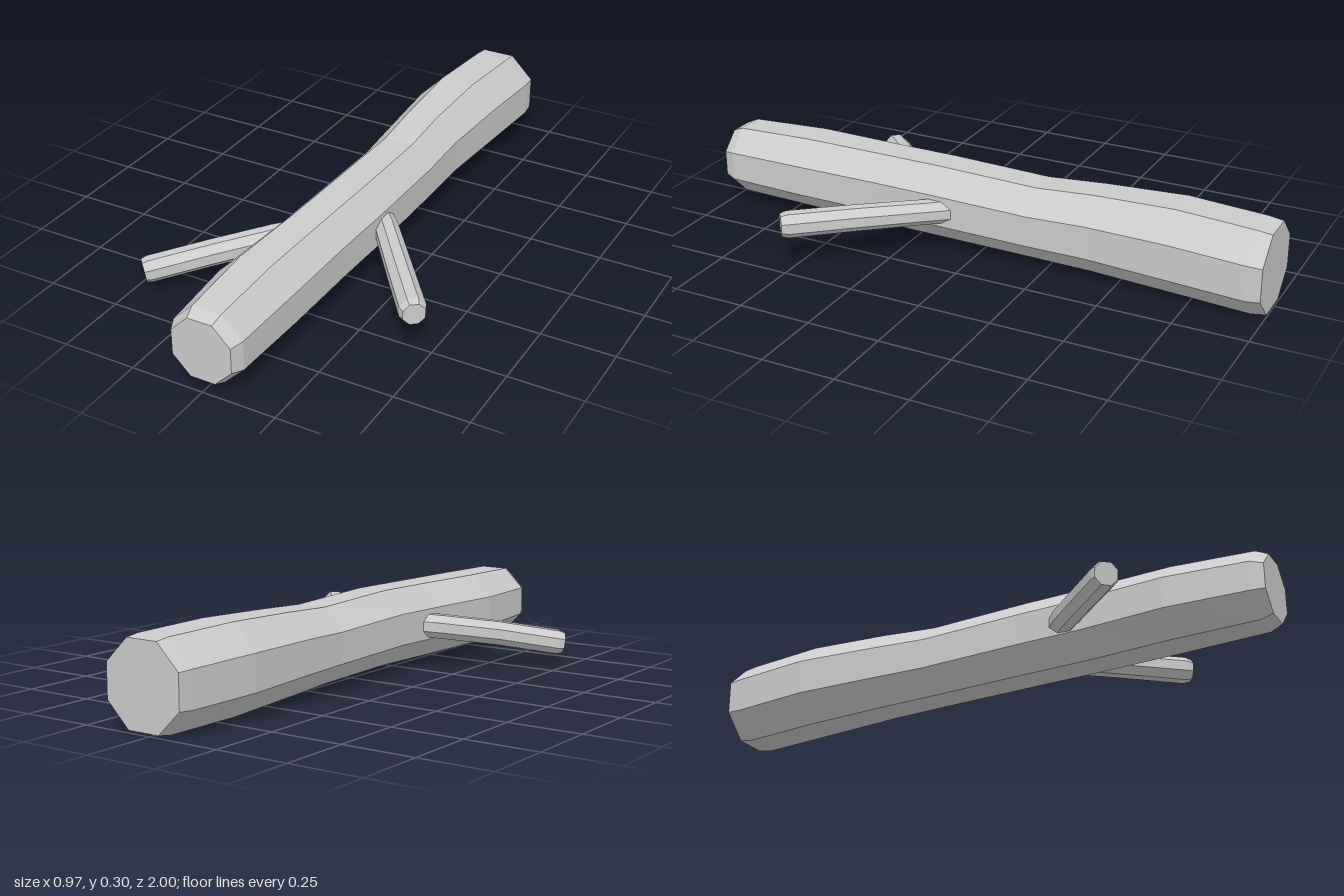
import * as THREE from 'three';

const SIDES = 8;
const material = new THREE.MeshStandardMaterial({ color: 0xcccccc, flatShading: true });

// Octagon corner k, flat side up, scaled so its flats lie at +-1
function corner(k) {
  const a = ((k + 0.5) / SIDES) * Math.PI * 2;
  const r = 1 / Math.cos(Math.PI / SIDES);
  return [Math.cos(a) * r, Math.sin(a) * r];
}

// Skin a closed body over sections { center, side, up }, ordered along side x up
function loft(name, sections) {
  const pos = [];
  const index = [];
  for (const { center, side, up } of sections) {
    for (let k = 0; k < SIDES; k++) {
      const [u, v] = corner(k);
      const p = center.clone().addScaledVector(side, u).addScaledVector(up, v);
      pos.push(p.x, p.y, p.z);
    }
  }
  const last = (sections.length - 1) * SIDES;
  for (let s = 0; s < last; s += SIDES) {
    for (let k = 0; k < SIDES; k++) {
      const n = (k + 1) % SIDES;
      index.push(s + k, s + n, s + SIDES + n, s + k, s + SIDES + n, s + SIDES + k);
    }
  }
  for (let k = 1; k < SIDES - 1; k++) {
    index.push(0, k + 1, k, last, last + k, last + k + 1);
  }
  const indexed = new THREE.BufferGeometry();
  indexed.setAttribute('position', new THREE.Float32BufferAttribute(pos, 3));
  indexed.setIndex(index);
  const geometry = indexed.toNonIndexed();
  geometry.computeVertexNormals();
  const mesh = new THREE.Mesh(geometry, material);
  mesh.name = name;
  return mesh;
}

// Log: z, left and right extent in x, bottom and top in y
function trunk() {
  const rows = [
    [-1.0, -0.117, 0.162, 0.01, 0.285],
    [-0.95, -0.122, 0.166, 0.002, 0.291],
    [-0.68, -0.14, 0.152, 0.006, 0.298],
    [-0.4, -0.122, 0.136, 0.015, 0.287],
    [-0.2, -0.11, 0.139, 0.021, 0.275],
    [0.15, -0.109, 0.143, 0.026, 0.285],
    [0.38, -0.117, 0.134, 0.023, 0.282],
    [0.68, -0.139, 0.13, 0.023, 0.278],
    [0.96, -0.116, 0.124, 0.031, 0.27],
    [1.0, -0.098, 0.107, 0.047, 0.253],
  ];
  return loft('trunk', rows.map(([z, x0, x1, y0, y1]) => ({
    center: new THREE.Vector3((x0 + x1) / 2, (y0 + y1) / 2, z),
    side: new THREE.Vector3((x1 - x0) / 2, 0, 0),
    up: new THREE.Vector3(0, (y1 - y0) / 2, 0),
  })));
}

// Twig: octagonal tube through points [x, y, z, radius]
function branch(name, points) {
  const centers = points.map((p) => new THREE.Vector3(p[0], p[1], p[2]));
  const end = points.length - 1;
  return loft(name, centers.map((center, i) => {
    const dir = centers[Math.min(i + 1, end)].clone().sub(centers[Math.max(i - 1, 0)]).normalize();
    const side = new THREE.Vector3(0, 1, 0).cross(dir).normalize();
    const up = dir.clone().cross(side);
    return { center, side: side.multiplyScalar(points[i][3]), up: up.multiplyScalar(points[i][3]) };
  }));
}

export function createModel() {
  const group = new THREE.Group();
  group.name = 'log';
  group.add(
    trunk(),
    branch('leftBranch', [
      [0.04, 0.15, 0.02, 0.04],
      [0.16, 0.154, 0.155, 0.039],
      [0.31, 0.153, 0.35, 0.041],
      [0.443, 0.15, 0.52, 0.042],
      [0.457, 0.15, 0.537, 0.035],
    ]),
    branch('rightBranch', [
      [-0.02, 0.158, 0.255, 0.04],
      [-0.14, 0.143, 0.348, 0.041],
      [-0.29, 0.116, 0.485, 0.041],
      [-0.45, 0.08, 0.624, 0.041],
      [-0.464, 0.077, 0.637, 0.036],
    ]),
  );
  return group;
}
